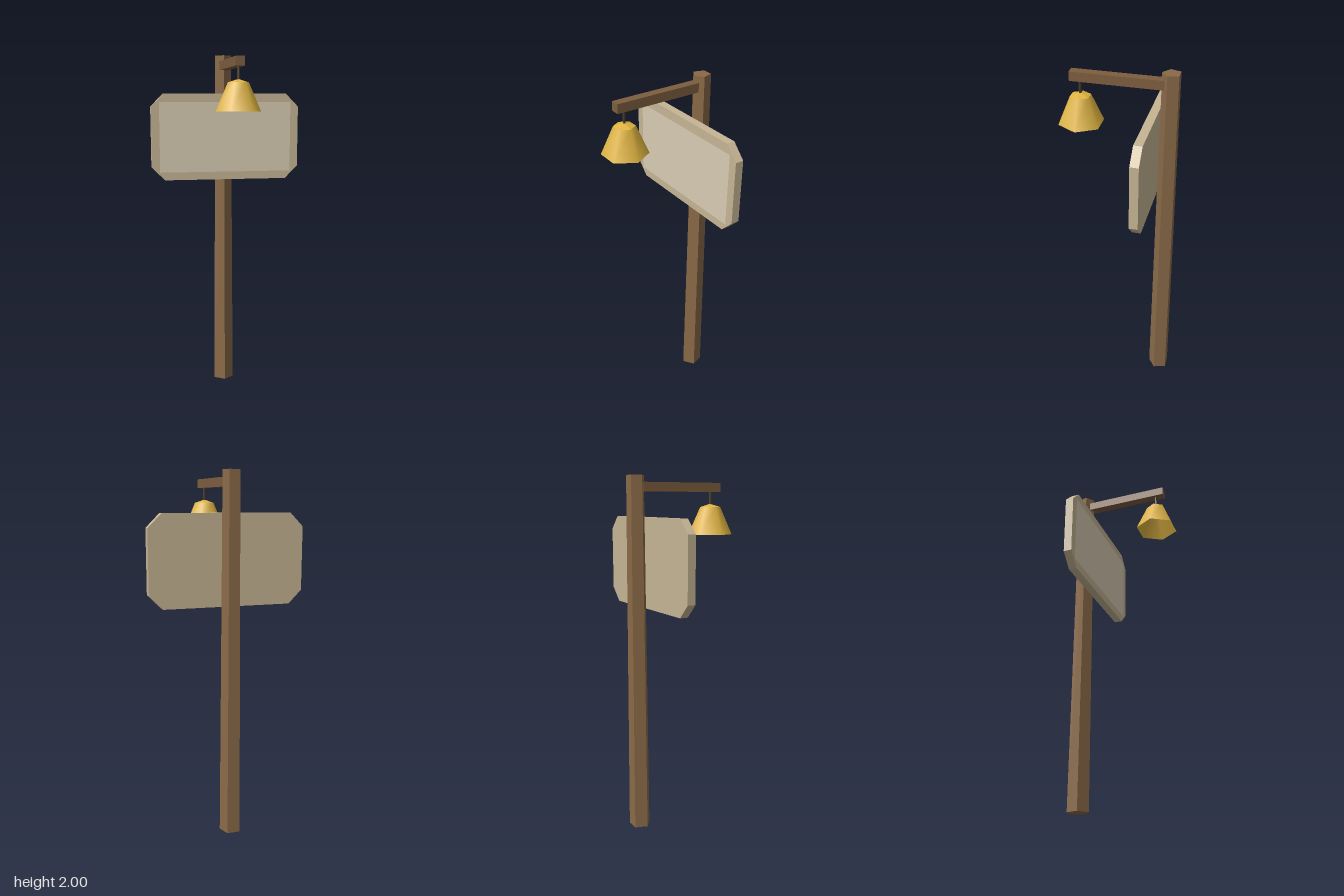
import * as THREE from 'three';

const paint = (color, flat = true, side = THREE.FrontSide) =>
  new THREE.MeshStandardMaterial({ color, flatShading: flat, side });

export function createModel() {
  const group = new THREE.Group();
  const wood = paint(0x8a6a48);
  const gold = 0xe0b440;

  const add = (name, geometry, material, x, y, z) => {
    const mesh = new THREE.Mesh(geometry, material);
    mesh.name = name;
    mesh.position.set(x, y, z);
    group.add(mesh);
    return mesh;
  };

  // Five-sided tapering post with one edge facing forward
  add('post', new THREE.CylinderGeometry(0.05, 0.062, 2, 5), wood, 0, 1, -0.265);

  // Board with cut corners
  const w = 0.437, h = 0.25, cut = 0.075;
  const outline = new THREE.Shape([
    [w, h - cut], [w - cut, h], [cut - w, h], [-w, h - cut],
    [-w, cut - h], [cut - w, -h], [w - cut, -h], [w, cut - h],
  ].map(([x, y]) => new THREE.Vector2(x, y)));
  add('signBoard', new THREE.ExtrudeGeometry(outline, { depth: 0.046, bevelEnabled: false }),
    paint(0xc6b594), 0, 1.53, -0.203);

  // Pale face panel set on the front of the board
  add('signPanel', new THREE.PlaneGeometry(0.78, 0.405), paint(0xd8ccb4), 0, 1.528, -0.155);

  // Arm reaching forward from the post
  add('arm', new THREE.BoxGeometry(0.05, 0.05, 0.49), paint(0x7d5e3e), 0, 1.94, 0.013);

  // Rod holding the lamp
  add('hangingRod', new THREE.CylinderGeometry(0.008, 0.008, 0.09, 6), paint(0x4a3a2a), 0, 1.883, 0.207);

  // Six-sided shade, open below, with a shallow roof
  const turn = Math.PI / 6;
  add('lampShade', new THREE.CylinderGeometry(0.057, 0.124, 0.152, 6, 1, true, turn),
    paint(gold, false, THREE.DoubleSide), 0, 1.756, 0.207);
  add('lampRoof', new THREE.ConeGeometry(0.057, 0.018, 6, 1, true, turn),
    paint(gold, true, THREE.DoubleSide), 0, 1.841, 0.207);

  return group;
}
